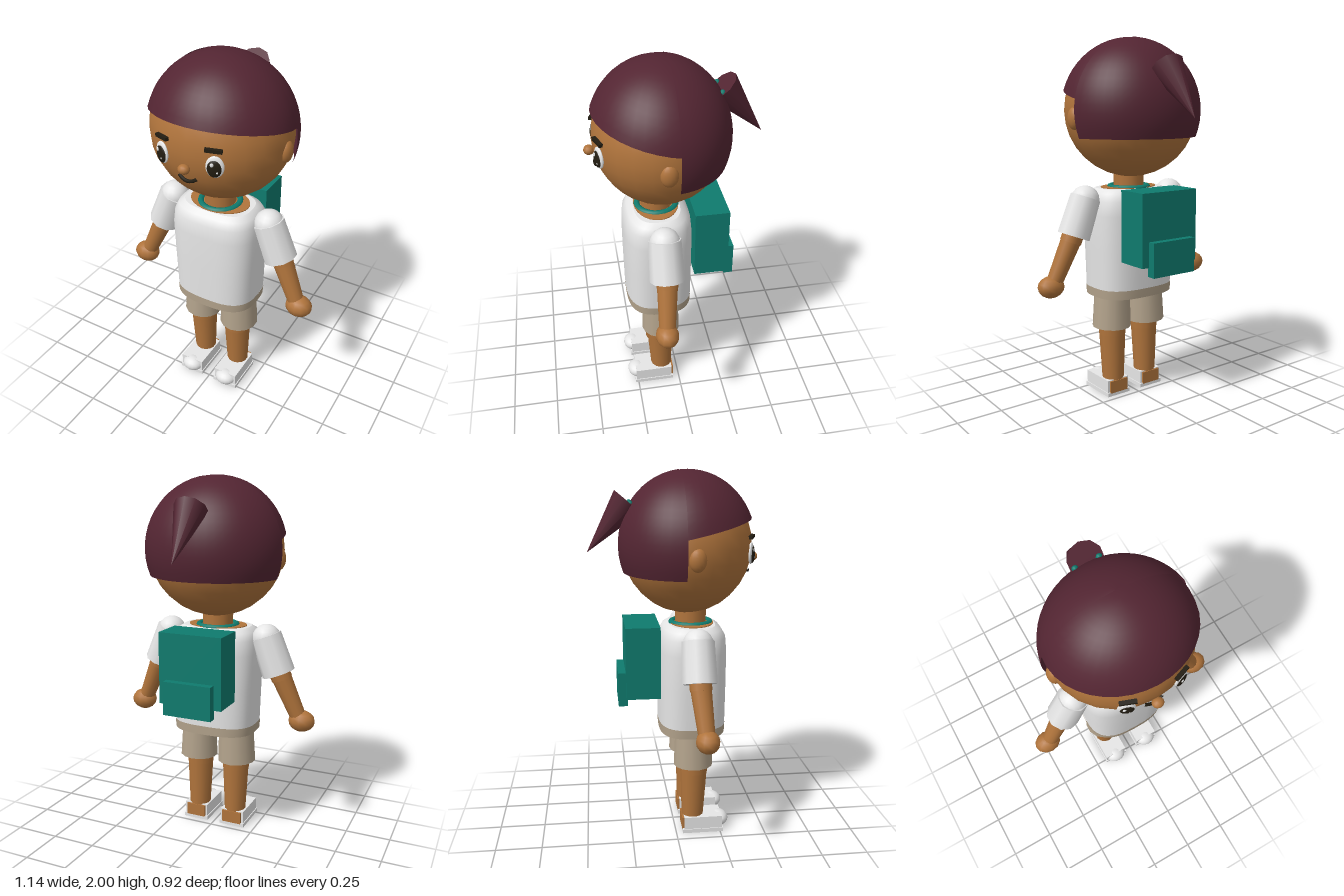
import * as THREE from 'three';
import { mergeVertices } from 'three/addons/utils/BufferGeometryUtils.js';

const mat = (name, color, side = THREE.FrontSide) => {
  const m = new THREE.MeshStandardMaterial({ color, side });
  m.name = name;
  return m;
};

// Smooth surface from a grid: u runs around, v runs upward
function grid(nu, nv, point) {
  const pos = [], idx = [];
  for (let j = 0; j <= nv; j++)
    for (let i = 0; i <= nu; i++) pos.push(...point(i / nu, j / nv));
  for (let j = 0; j < nv; j++)
    for (let i = 0; i < nu; i++) {
      const a = j * (nu + 1) + i, b = a + 1, c = a + nu + 1, d = c + 1;
      idx.push(a, c, b, b, c, d);
    }
  let g = new THREE.BufferGeometry();
  g.setAttribute('position', new THREE.Float32BufferAttribute(pos, 3));
  g.setIndex(idx);
  g = mergeVertices(g, 1e-5);
  g.computeVertexNormals();
  return g;
}

// Rounded-rectangle rings [y, halfWidth, halfDepth] joined into a skin
function loft(rings, cz) {
  const round = t => Math.sign(t) * Math.pow(Math.abs(t), 0.7);
  return grid(40, rings.length - 1, (u, v) => {
    const [y, rx, rz] = rings[Math.round(v * (rings.length - 1))];
    const a = u * Math.PI * 2;
    return [rx * round(Math.cos(a)), y, cz + rz * round(Math.sin(a))];
  });
}

export function createModel() {
  const skin = mat('skin', 0xb0743c);
  const hair = mat('hair', 0x532532, THREE.DoubleSide);
  const white = mat('white cloth', 0xe6e6e6);
  const beige = mat('beige cloth', 0xb3a38c);
  const teal = mat('teal', 0x0f7b6e);
  const dark = mat('dark', 0x231d12);

  const model = new THREE.Group();
  const add = (name, geo, material, p = [0, 0, 0], parent = model) => {
    const m = new THREE.Mesh(geo, material);
    m.name = name;
    m.position.set(...p);
    parent.add(m);
    return m;
  };
  const ball = (name, material, p, r, parent = model, w = 24, h = 16) => {
    const m = add(name, new THREE.SphereGeometry(1, w, h), material, p, parent);
    m.scale.set(...r);
    return m;
  };
  const box = (name, material, p, s, parent) => add(name, new THREE.BoxGeometry(...s), material, p, parent);
  // Tapered cylinder from a (radius ra) to b (radius rb)
  const limb = (name, material, a, b, ra, rb, sides = 12) => {
    const A = new THREE.Vector3(...a), B = new THREE.Vector3(...b);
    const dir = B.clone().sub(A);
    const m = add(name, new THREE.CylinderGeometry(rb, ra, dir.length(), sides), material);
    m.position.copy(A).add(B).multiplyScalar(0.5);
    m.quaternion.setFromUnitVectors(new THREE.Vector3(0, 1, 0), dir.normalize());
    return m;
  };

  // Head, neck and nose
  ball('head', skin, [0, 1.61, 0.072], [0.372, 0.36, 0.346]);
  limb('neck', skin, [0, 1.17, 0.097], [0, 1.3, 0.097], 0.085, 0.085, 16);
  ball('nose', skin, [0, 1.545, 0.432], [0.031, 0.025, 0.028], model, 12, 8);

  // Hair: tilted fringe cap and a longer shell behind the ears
  const hy = 1.61, hz = 0.075;
  add('fringeHair', grid(36, 12, (u, v) => {
    const a = u * Math.PI * 2, k = 0.0803 * Math.sin(a);
    const cut = Math.acos(0.07 / Math.hypot(0.39, k)) - Math.atan2(k, 0.39);
    const t = cut * (1 - v), s = Math.sin(t);
    return [0.385 * s * Math.cos(a), hy + 0.39 * Math.cos(t), hz + 0.365 * s * Math.sin(a)];
  }), hair);
  add('backHair', grid(24, 16, (u, v) => {
    const t = THREE.MathUtils.lerp(1.938, 0.1235, v), s = Math.sin(t);
    const a = -Math.PI / 2 + (2 * u - 1) * Math.acos(Math.min(1, 0.123 / s));
    return [0.394 * s * Math.cos(a), hy + 0.392 * Math.cos(t), hz + 0.367 * s * Math.sin(a)];
  }), hair);
  limb('ponytail', hair, [0, 1.837, -0.237], [0, 1.577, -0.455], 0.09, 0.0005, 10);

  // Mouth
  const smile = new THREE.QuadraticBezierCurve3(
    new THREE.Vector3(-0.05, 1.487, 0.396), new THREE.Vector3(0, 1.449, 0.415), new THREE.Vector3(0.05, 1.487, 0.396));
  add('mouth', new THREE.TubeGeometry(smile, 10, 0.009, 6), dark);

  // Torso: shirt, waistband and the skin showing at neck and hem
  const cz = 0.1;
  add('shirt', loft([[0.635, 0.236, 0.183], [0.85, 0.243, 0.185], [1.05, 0.25, 0.185],
    [1.13, 0.24, 0.178], [1.17, 0.222, 0.155], [1.19, 0.19, 0.125]], cz), white);
  add('shirtTop', loft([[1.19, 0.19, 0.125], [1.19, 0, 0]], cz), white);
  add('waistband', loft([[0.59, 0.236, 0.182], [0.64, 0.239, 0.184]], cz), beige);
  add('hipUnderside', loft([[0.592, 0, 0], [0.592, 0.235, 0.181]], cz), skin);
  const nape = add('neckOpening', new THREE.CylinderGeometry(1, 1, 0.008, 28), skin, [0, 1.19, cz]);
  nape.scale.set(0.168, 1, 0.12);
  const collar = add('collar', new THREE.TorusGeometry(0.105, 0.018, 8, 24), teal, [0, 1.188, 0.097]);
  collar.rotation.x = Math.PI / 2;

  // Backpack
  box('backpack', teal, [0, 1.005, -0.177], [0.36, 0.39, 0.185]);
  box('backpackPocket', teal, [0, 0.853, -0.285], [0.275, 0.185, 0.05]);

  for (const s of [1, -1]) {
    const side = s > 0 ? 'left' : 'right';

    // Eye with pupil and glints
    const eye = new THREE.Group();
    eye.name = side + 'Eye';
    eye.position.set(s * 0.145, 1.578, 0.391);
    eye.rotation.y = s * 0.37;
    model.add(eye);
    ball('eyeWhite', white, [0, 0, 0], [0.045, 0.057, 0.014], eye, 20, 12);
    ball('pupil', dark, [-s * 0.002, -0.006, 0.008], [0.035, 0.045, 0.012], eye, 20, 12);
    ball('glint', white, [-0.012, 0.018, 0.018], [0.009, 0.011, 0.004], eye, 10, 8);
    ball('smallGlint', white, [0.013, -0.022, 0.017], [0.005, 0.006, 0.004], eye, 8, 6);
    const brow = box(side + 'Brow', dark, [s * 0.14, 1.662, 0.393], [0.084, 0.017, 0.022]);
    brow.rotation.set(0, s * 0.37, -s * 0.06);
    ball(side + 'Ear', skin, [s * 0.358, 1.572, 0.082], [0.033, 0.06, 0.045], model, 16, 12);
    ball(side + 'HairTie', teal, [s * 0.062, 1.828, -0.228], [0.017, 0.017, 0.014], model, 8, 6);

    // Arm
    ball(side + 'Shoulder', white, [s * 0.29, 1.135, 0.097], [0.08, 0.08, 0.08], model, 16, 10);
    limb(side + 'Sleeve', white, [s * 0.365, 0.945, 0.097], [s * 0.286, 1.15, 0.097], 0.092, 0.086, 10);
    limb(side + 'UpperArm', skin, [s * 0.384, 0.915, 0.1], [s * 0.35, 1.0, 0.097], 0.058, 0.06);
    limb(side + 'Forearm', skin, [s * 0.485, 0.69, 0.118], [s * 0.384, 0.918, 0.1], 0.043, 0.055);
    ball(side + 'Hand', skin, [s * 0.497, 0.682, 0.12], [0.075, 0.06, 0.062], model, 12, 8);

    // Leg
    limb(side + 'ShortsLeg', beige, [s * 0.12, 0.4, 0.1], [s * 0.115, 0.61, 0.1], 0.109, 0.1, 14);
    limb(side + 'Knee', skin, [s * 0.113, 0.353, 0.105], [s * 0.113, 0.45, 0.105], 0.077, 0.079, 14);
    limb(side + 'Shin', skin, [s * 0.113, 0.05, 0.098], [s * 0.113, 0.355, 0.105], 0.06, 0.075, 14);

    // Shoe
    box(side + 'Heel', skin, [s * 0.115, 0.053, 0.07], [0.115, 0.07, 0.07]);
    box(side + 'Shoe', white, [s * 0.115, 0.05, 0.153], [0.14, 0.085, 0.215]);
    box(side + 'Sole', white, [s * 0.115, 0.011, 0.152], [0.15, 0.022, 0.23]);
    ball(side + 'Toe', white, [s * 0.115, 0.053, 0.25], [0.063, 0.043, 0.055], model, 16, 10);
  }
  return model;
}
